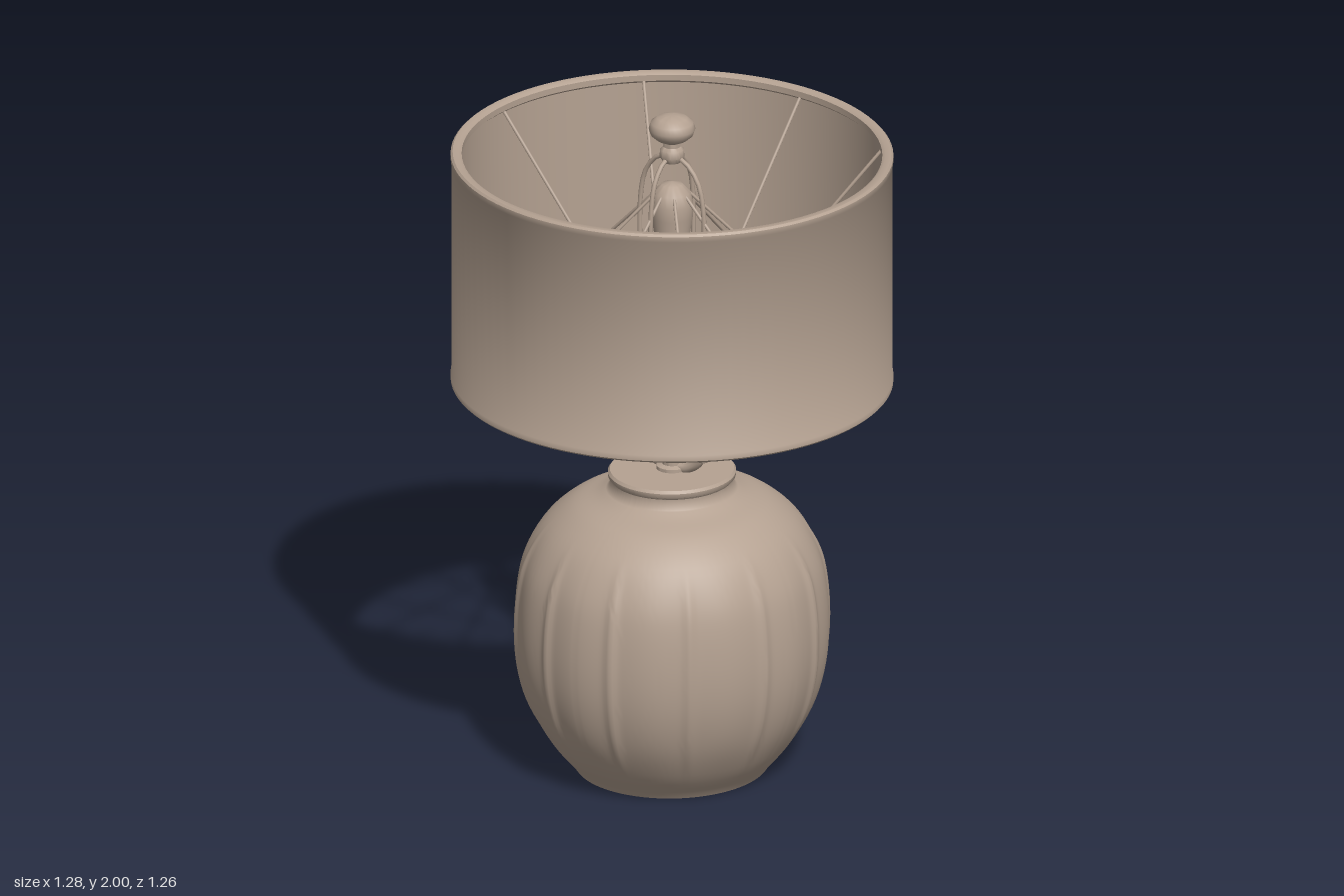
import * as THREE from 'three';
import { toCreasedNormals } from 'three/addons/utils/BufferGeometryUtils.js';

const clay = new THREE.MeshStandardMaterial({ color: 0xb5a292 });
clay.name = 'warm taupe';

const v3 = (x, y, z) => new THREE.Vector3(x, y, z);
const smoothstep = THREE.MathUtils.smoothstep;

export function createModel() {
  const lamp = new THREE.Group();
  lamp.name = 'tableLamp';

  const add = (name, geometry, parent = lamp) => {
    const mesh = new THREE.Mesh(geometry, clay);
    mesh.name = name;
    parent.add(mesh);
    return mesh;
  };
  const lathe = (points, segments = 32) =>
    toCreasedNormals(new THREE.LatheGeometry(points.map(([r, y]) => new THREE.Vector2(r, y)), segments), 0.7);
  const rod = (a, b, radius, sides = 6) =>
    new THREE.TubeGeometry(new THREE.LineCurve3(a, b), 1, radius, sides);

  // Ceramic body: smooth profile, then twelve raised ribs that fade at both ends
  const side = new THREE.SplineCurve([
    [0.285, 0.015], [0.345, 0.09], [0.4, 0.19], [0.433, 0.3], [0.445, 0.42], [0.438, 0.55],
    [0.415, 0.65], [0.365, 0.74], [0.29, 0.805], [0.215, 0.835], [0.183, 0.852],
  ].map(([r, y]) => new THREE.Vector2(r, y))).getPoints(44);
  const profile = [
    new THREE.Vector2(0, 0), new THREE.Vector2(0.275, 0), ...side,
    ...[[0.174, 0.868], [0.174, 0.882], [0.181, 0.89], [0.182, 0.902], [0.176, 0.91], [0, 0.91]]
      .map(([r, y]) => new THREE.Vector2(r, y)),
  ];
  const body = new THREE.LatheGeometry(profile, 288);
  const p = body.attributes.position;
  const step = Math.PI / 6;
  for (let i = 0; i < p.count; i++) {
    const x = p.getX(i), y = p.getY(i), z = p.getZ(i);
    const angle = Math.atan2(z, x) + Math.PI * 2;
    const offset = (angle % step) - step / 2;
    const fade = smoothstep(y, 0.06, 0.25) * (1 - smoothstep(y, 0.6, 0.78));
    const rib = 0.02 * Math.exp(-((offset / 0.035) ** 2));
    const panel = 0.006 * Math.cos((offset / step) * Math.PI * 2);
    const k = 1 + fade * (rib - panel);
    p.setXYZ(i, x * k, y, z * k * 1.03);
  }
  add('ceramicBody', toCreasedNormals(body, 0.7));

  // Drum shade with rounded trim at both rims
  const shade = add('drumShade', lathe([
    [0.608, 1.185], [0.615, 1.18], [0.632, 1.18], [0.638, 1.186], [0.638, 1.202], [0.635, 1.206],
    [0.635, 1.86], [0.638, 1.864], [0.638, 1.88], [0.632, 1.886], [0.615, 1.886], [0.606, 1.88],
    [0.606, 1.862], [0.614, 1.855], [0.614, 1.21], [0.608, 1.205], [0.608, 1.185],
  ], 96));
  shade.scale.z = 0.985;

  // Wires from both shade rims, sloping to the middle
  const wires = new THREE.Group();
  wires.name = 'shadeWires';
  lamp.add(wires);
  for (let i = 0; i < 8; i++) {
    const a = (i * Math.PI) / 4, c = Math.cos(a), s = Math.sin(a);
    add('upperWire', rod(v3(0.607 * c, 1.86, 0.6 * s), v3(0.06 * c, 1.21, 0.06 * s), 0.005), wires);
    add('lowerWire', rod(v3(0.607 * c, 1.2, 0.6 * s), v3(0.05 * c, 1.76, 0.05 * s), 0.005), wires);
  }

  // Two crossed wire hoops holding the shade
  const hoop = (name, radius, bottom, turn) => {
    const points = [[-1, bottom], [-1, 1.4], [-1, 1.74], [-0.8, 1.82], [-0.4, 1.866], [0, 1.875]];
    const all = [...points, ...points.slice(0, -1).reverse().map(([x, y]) => [-x, y])];
    const curve = new THREE.CatmullRomCurve3(all.map(([x, y]) => v3(x * radius, y, 0)), false, 'centripetal');
    add(name, new THREE.TubeGeometry(curve, 60, 0.007, 8)).rotation.y = turn;
  };
  hoop('harpHoop', 0.112, 1.0, 0);
  hoop('crossHoop', 0.097, 1.11, Math.PI / 2);

  // Harp arms and sleeves on each side of the socket
  for (const s of [-1, 1]) {
    const arm = new THREE.CatmullRomCurve3([
      v3(0, 0.917, 0), v3(s * 0.055, 0.922, 0), v3(s * 0.1, 0.955, 0), v3(s * 0.112, 1.0, 0),
    ]);
    add('harpArm', new THREE.TubeGeometry(arm, 20, 0.014, 8));
    add('harpSleeve', lathe([
      [0, 0.955], [0.016, 0.957], [0.023, 0.972], [0.023, 1.02], [0.016, 1.04], [0.009, 1.055], [0, 1.055],
    ], 16)).position.x = s * 0.112;
  }

  // Socket on a short collar
  add('socket', lathe([
    [0.045, 0.905], [0.045, 0.92], [0.028, 0.925], [0.028, 0.945], [0.055, 0.952], [0.066, 0.968],
    [0.066, 1.03], [0.068, 1.035], [0.068, 1.11], [0.062, 1.122], [0, 1.122],
  ]));

  // Turn switch
  const knob = add('switchKnob', lathe([
    [0, 0.05], [0.02, 0.05], [0.02, 0.085], [0.012, 0.092], [0.012, 0.135], [0.024, 0.142],
    [0.031, 0.158], [0.03, 0.175], [0.02, 0.186], [0, 0.188],
  ], 20));
  knob.rotation.z = -Math.PI / 2;
  knob.position.y = 1.07;

  // Bulb on a slim stem with a conical fitting
  add('bulbStem', rod(v3(0, 1.11, 0), v3(0, 1.4, 0), 0.009, 10));
  add('stemFitting', lathe([[0, 1.18], [0.012, 1.185], [0.038, 1.23], [0.03, 1.245], [0.01, 1.28], [0, 1.28]], 20));
  add('bulb', lathe([
    [0, 1.39], [0.062, 1.39], [0.062, 1.45], [0.052, 1.47], [0.052, 1.64], [0.06, 1.69],
    [0.061, 1.73], [0.053, 1.765], [0.03, 1.788], [0, 1.795],
  ]));

  // Finial
  add('finial', lathe([
    [0, 1.855], [0.026, 1.858], [0.036, 1.875], [0.034, 1.895], [0.025, 1.905], [0.025, 1.918],
    [0.045, 1.928], [0.061, 1.942], [0.067, 1.96], [0.061, 1.979], [0.043, 1.993], [0.02, 1.999], [0, 2],
  ]));

  return lamp;
}
